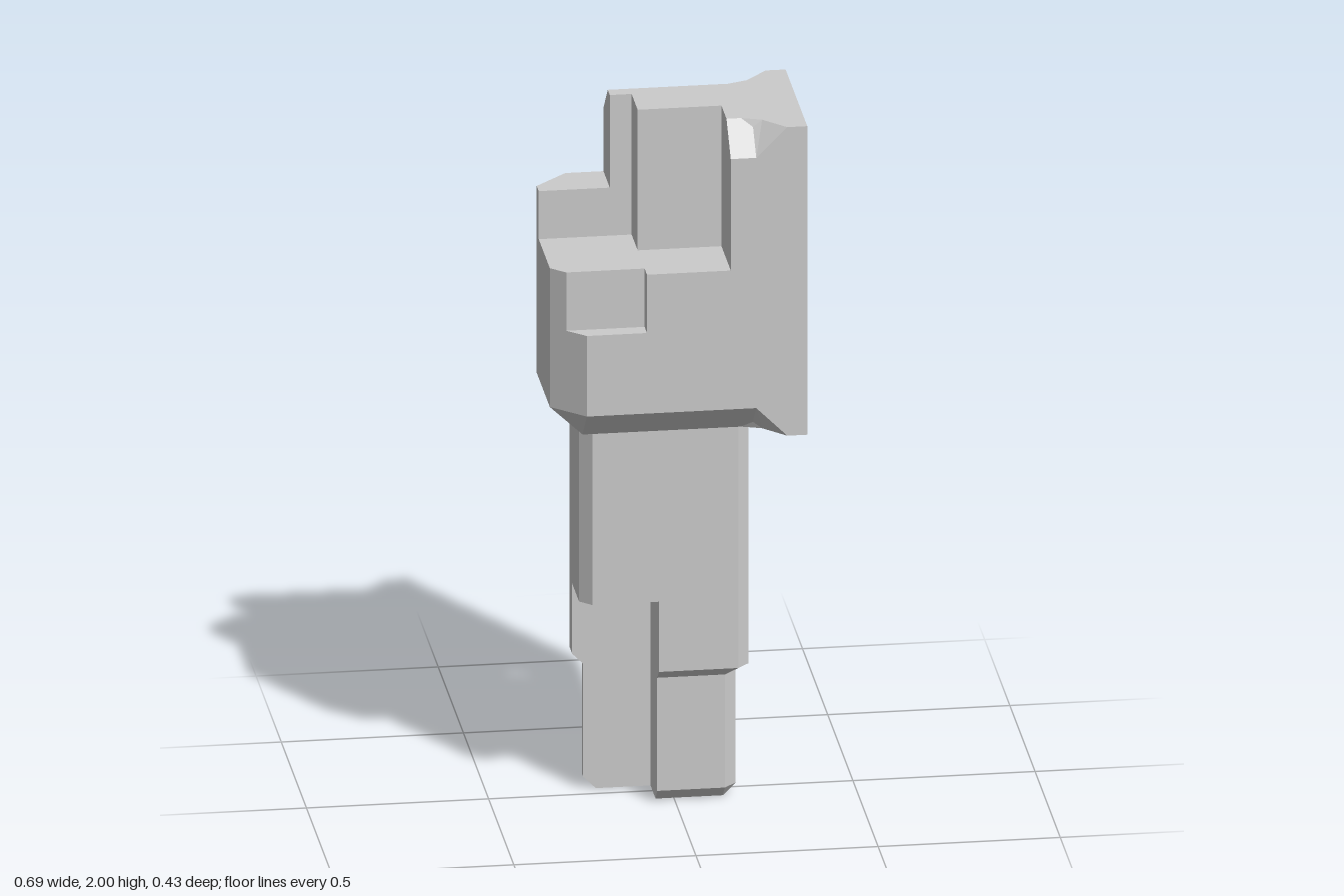
import * as THREE from 'three';

// Collects flat polygons into one faceted surface; "out" says roughly which way a face looks
class Shell {
  constructor() { this.pos = []; }
  face(points, out) {
    const p = points.map(a => new THREE.Vector3(...a));
    const o = new THREE.Vector3(...out);
    const n = new THREE.Vector3();
    p.forEach((a, i) => n.add(a.clone().cross(p[(i + 1) % p.length])));
    const [ax, ay, az] = n.toArray().map(Math.abs);
    const [u, v] = ax >= ay && ax >= az ? ['y', 'z'] : ay >= az ? ['z', 'x'] : ['x', 'y'];
    const flat = p.map(a => new THREE.Vector2(a[u], a[v]));
    for (const [i, j, k] of THREE.ShapeUtils.triangulateShape(flat, [])) {
      const t = new THREE.Triangle(p[i], p[j], p[k]).getNormal(new THREE.Vector3());
      const order = t.dot(o) < 0 ? [i, k, j] : [i, j, k];
      order.forEach(q => this.pos.push(...p[q].toArray()));
    }
  }
  atX(x, zy, dir) { this.face(zy.map(([z, y]) => [x, y, z]), [dir, 0, 0]); }
  atY(y, xz, dir) { this.face(xz.map(([x, z]) => [x, y, z]), [0, dir, 0]); }
  atZ(z, xy, dir) { this.face(xy.map(([x, y]) => [x, y, z]), [0, 0, dir]); }
  // Upright rectangle between two plan points
  wall([x0, z0], [x1, z1], y0, y1, out) {
    this.face([[x0, y0, z0], [x1, y0, z1], [x1, y1, z1], [x0, y1, z0]], out);
  }
  // Strips between two rings of plan points (counted so that x cross z winds outward)
  loft(low, yLow, high, yHigh) {
    low.forEach((a, i) => {
      const j = (i + 1) % low.length, b = low[j], c = high[j], d = high[i];
      const out = [-(d[1] - c[1]), 0, d[0] - c[0]];
      this.face([[a[0], yLow, a[1]], [b[0], yLow, b[1]], [c[0], yHigh, c[1]], [d[0], yHigh, d[1]]], out);
    });
  }
  mesh(name) {
    const g = new THREE.BufferGeometry();
    g.setAttribute('position', new THREE.Float32BufferAttribute(this.pos, 3));
    g.computeVertexNormals();
    const m = new THREE.Mesh(g, new THREE.MeshStandardMaterial({
      color: 0xcccccc, flatShading: true, side: THREE.DoubleSide }));
    m.name = name;
    return m;
  }
}

const W = 0.215, IN = 0.13, LEFT = -0.35, CUT = -0.26, RIGHT = 0.345;
const BASE = 1.1, BEVEL = 1.185, NOTCH = 1.42, STEP = 1.59, SHOULDER = 1.73, RIM = 1.915, TOP = 2;

// Sloped long edge from xs towards the right, closed by a slanted end
function edgeBevel(s, xs, yEdge, yCap, side) {
  const z = side, out = [0, Math.sign(yCap - yEdge), z];
  const yMid = yEdge + (yCap - yEdge) * 0.765;
  const a = [0.205, yEdge, z * W], p = [0.205, yMid, z * 0.15];
  const q = [0.175, yCap, z * IN], r = [0.23, yCap, z * 0.15];
  s.face([[xs, yEdge, z * W], a, p, q, [xs, yCap, z * IN]], out);
  s.face([p, r, q], out);
  s.face([a, [0.29, yCap, z * W], r, p], [-0.5, out[1], z]);
}

function buildHead() {
  const s = new Shell();
  const rightLow = [[RIGHT, BASE], [0.29, BASE], [0.205, BEVEL], [CUT, BEVEL]];
  const rightHigh = [[0.205, RIM], [0.29, TOP], [RIGHT, TOP]];
  // Back and front sides; the right side is open
  s.atZ(-W, [...rightLow, [CUT, SHOULDER], [-0.155, SHOULDER], [-0.155, RIM], ...rightHigh], -1);
  s.atZ(W, [...rightLow, [CUT, NOTCH], [-0.095, NOTCH], [-0.095, STEP], [0.135, STEP],
    [0.135, RIM], ...rightHigh], 1);
  // Left side and its cut corners
  s.atX(LEFT, [[-IN, BEVEL], [IN, BEVEL], [IN, STEP], [-0.09, STEP], [-0.09, SHOULDER], [-IN, SHOULDER]], -1);
  s.wall([LEFT, -IN], [CUT, -W], BEVEL, SHOULDER, [-1, 0, -1]);
  s.wall([LEFT, IN], [CUT, W], BEVEL, NOTCH, [-1, 0, 1]);
  s.wall([LEFT, IN], [-0.31, 0.168], NOTCH, STEP, [-1, 0, 1]);
  // Shallow notch in the front
  s.atY(NOTCH, [[-0.31, 0.168], [-0.095, 0.168], [-0.095, W], [CUT, W]], 1);
  s.wall([-0.31, 0.168], [-0.095, 0.168], NOTCH, STEP, [0, 0, 1]);
  s.wall([-0.095, 0.168], [-0.095, W], NOTCH, STEP, [-1, 0, 0]);
  // Step floor, shoulder and top
  s.atY(STEP, [[LEFT, -0.09], [-0.095, -0.09], [-0.095, 0.03], [0.135, 0.03], [0.135, W],
    [-0.095, W], [-0.095, 0.168], [-0.31, 0.168], [LEFT, IN]], 1);
  s.atY(SHOULDER, [[LEFT, -IN], [CUT, -W], [-0.155, -W], [-0.155, -0.09], [LEFT, -0.09]], 1);
  const end = [[0.175, -IN], [0.23, -0.15], [0.29, -W], [RIGHT, -W],
    [RIGHT, W], [0.29, W], [0.23, 0.15], [0.175, IN]];
  s.atY(TOP, [[-0.155, -IN], ...end, [0.135, IN], [0.135, 0.03], [-0.095, 0.03],
    [-0.095, -0.09], [-0.155, -0.09]], 1);
  // Risers between the levels
  s.wall([LEFT, -0.09], [-0.155, -0.09], STEP, SHOULDER, [0, 0, 1]);
  s.wall([-0.155, -0.09], [-0.095, -0.09], STEP, TOP, [0, 0, 1]);
  s.wall([-0.095, -0.09], [-0.095, 0.03], STEP, TOP, [-1, 0, 0]);
  s.wall([-0.095, 0.03], [0.135, 0.03], STEP, TOP, [0, 0, 1]);
  s.atX(-0.155, [[-W, SHOULDER], [-W, RIM], [-IN, TOP], [-0.09, TOP], [-0.09, SHOULDER]], -1);
  s.atX(0.135, [[0.03, STEP], [W, STEP], [W, RIM], [IN, TOP], [0.03, TOP]], -1);
  // Underside around the shaft
  s.atY(BASE, [...end, [0.2, 0.1], [0.2, -0.1]], -1);
  s.face([[LEFT, BEVEL, -IN], [LEFT, BEVEL, IN], [CUT, BASE, IN], [CUT, BASE, -IN]], [-1, -1, 0]);
  for (const z of [-1, 1]) {
    edgeBevel(s, z < 0 ? -0.155 : 0.135, RIM, TOP, z);
    edgeBevel(s, CUT, BEVEL, BASE, z);
    s.face([[LEFT, BEVEL, z * IN], [CUT, BEVEL, z * W], [CUT, BASE, z * IN]], [-1, -1, z]);
    s.atY(BASE, [[CUT, z * IN], [CUT, z * 0.1], [-0.23, z * IN]], -1);
  }
  return s.mesh('head');
}

// Plan of the shaft: rectangle with cut corners, optionally with the front left quarter removed
function plan(x0, x1, zh, c, relieved) {
  const corner = relieved ? [[x0, -0.04], [-0.05, -0.04], [-0.05, zh]]
    : [[x0, zh - c], [x0 + c, zh]];
  return [...corner, [x1 - c, zh], [x1, zh - c], [x1, c - zh], [x1 - c, -zh], [x0 + c, -zh], [x0, c - zh]];
}

function buildShaft() {
  const s = new Shell();
  const full = plan(-0.265, 0.2, 0.127, 0.032, false);
  const cut = plan(-0.265, 0.2, 0.127, 0.032, true);
  const tip = plan(-0.235, 0.17, 0.093, 0.034, true);
  s.loft(full, 0.6, full, BASE);
  // Underside of the full section above the relief
  s.atY(0.6, [full[0], full[1], [-0.05, 0.127], [-0.05, -0.04], [-0.265, -0.04]], -1);
  s.loft(cut, 0.395, cut, 0.6);
  s.loft(tip, 0.365, cut, 0.395);
  return s.mesh('shaft');
}

function buildTip() {
  const s = new Shell();
  const tip = plan(-0.235, 0.17, 0.093, 0.034, true);
  const foot = plan(-0.2, 0.136, 0.06, 0.002, true);
  s.loft(tip, 0.035, tip, 0.365);
  s.loft(foot, 0, tip, 0.035);
  s.atY(0, foot, -1);
  return s.mesh('tip');
}

export function createModel() {
  const model = new THREE.Group();
  model.name = 'steppedPin';
  model.add(buildHead(), buildShaft(), buildTip());
  return model;
}
